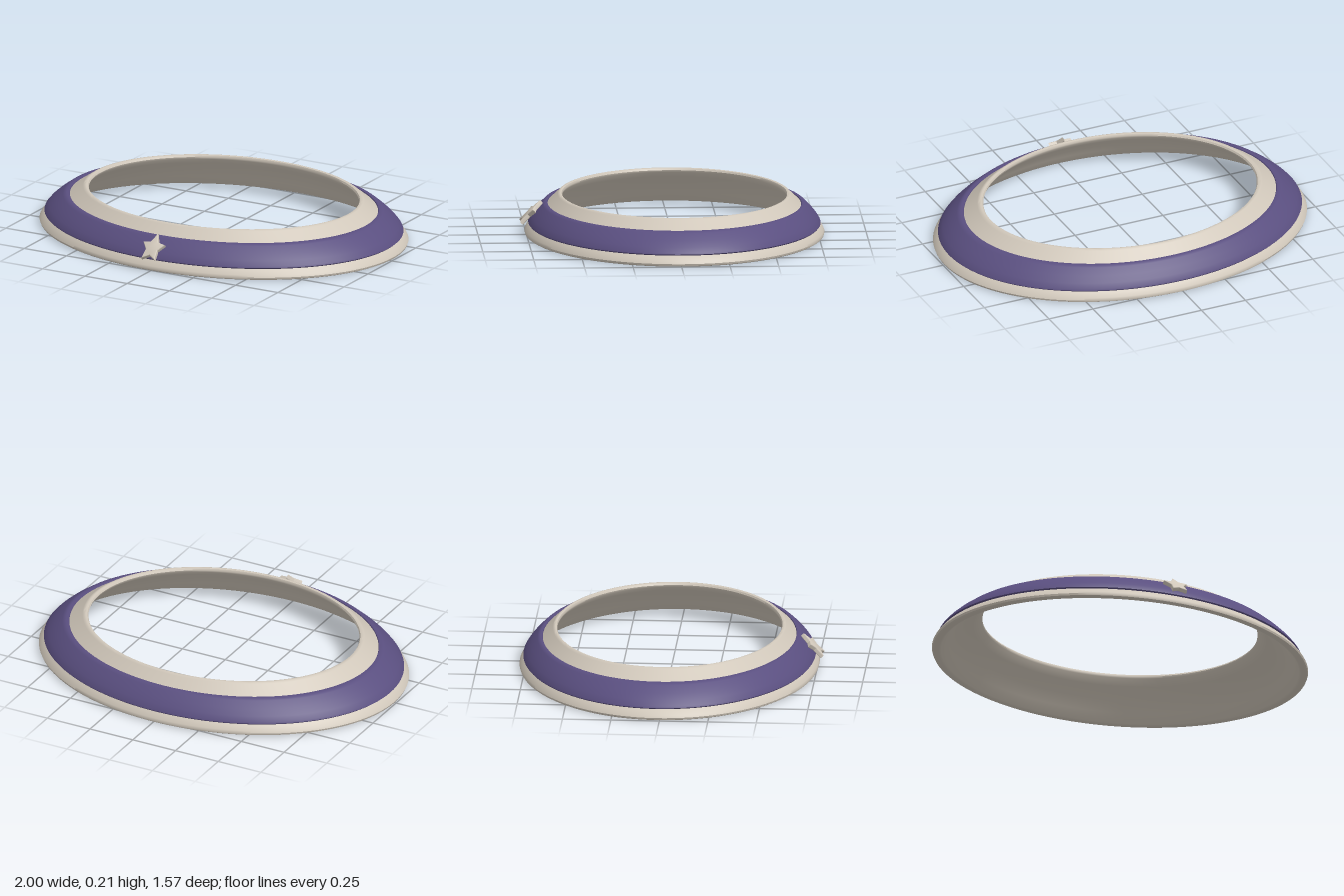
import * as THREE from 'three';
import { toCreasedNormals } from 'three/addons/utils/BufferGeometryUtils.js';

const CENTRE_Z = -0.0125;

// Closed profile [radius along x, y], swept round an oval
function ovalRing(profile, material, name) {
  const pts = [...profile, profile[0]].map(([r, y]) => new THREE.Vector2(r, y));
  const geo = new THREE.LatheGeometry(pts, 128);
  const pos = geo.attributes.position;
  for (let i = 0; i < pos.count; i++) {
    const r = Math.hypot(pos.getX(i), pos.getZ(i));
    const depth = 0.72 * r + 0.052; // half-depth of the oval at this radius
    pos.setZ(i, (pos.getZ(i) / r) * depth + CENTRE_Z);
  }
  const mesh = new THREE.Mesh(toCreasedNormals(geo, 0.7), material);
  mesh.name = name;
  return mesh;
}

export function createModel() {
  const cream = new THREE.MeshStandardMaterial({ color: 0xd0c7ba });
  cream.name = 'cream';
  const purple = new THREE.MeshStandardMaterial({ color: 0x5a4f80 });
  purple.name = 'purple';
  const model = new THREE.Group();
  model.name = 'collar';

  // Sloping collar shell with a rounded lower rim and thin upper rim
  model.add(ovalRing([
    [0.962, 0.003], [0.985, 0.003], [0.996, 0.008], [1, 0.018], [0.994, 0.029],
    [0.975, 0.05], [0.955, 0.065], [0.9, 0.112], [0.835, 0.158],
    [0.762, 0.207], [0.754, 0.213], [0.744, 0.215], [0.734, 0.212], [0.729, 0.203],
    [0.733, 0.192], [0.78, 0.16], [0.85, 0.108], [0.91, 0.055], [0.95, 0.01],
  ], cream, 'collarShell'));

  // Raised band round the outside
  model.add(ovalRing([
    [0.945, 0.056], [0.966, 0.057], [0.973, 0.063], [0.969, 0.072], [0.948, 0.096],
    [0.915, 0.125], [0.872, 0.156], [0.862, 0.162], [0.85, 0.165],
    [0.836, 0.164], [0.832, 0.156], [0.89, 0.112],
  ], purple, 'raisedBand'));

  // Star badge lying on the front slope
  const outline = [];
  for (let i = 0; i < 10; i++) {
    const a = Math.PI / 2 + (i * Math.PI) / 5;
    const k = i % 2 ? 0.5 : 1;
    outline.push(new THREE.Vector2(0.059 * k * Math.cos(a), 0.075 * k * Math.sin(a)));
  }
  const starGeo = new THREE.ExtrudeGeometry(new THREE.Shape(outline), {
    depth: 0.01, bevelEnabled: true, bevelThickness: 0.007, bevelSize: 0.006, bevelSegments: 3,
  });
  starGeo.center();
  const star = new THREE.Mesh(toCreasedNormals(starGeo, 0.6), cream);
  star.name = 'starBadge';
  star.position.set(0, 0.122, 0.725);
  star.rotation.x = -Math.PI / 4;
  model.add(star);

  // Stand the collar on the ground
  model.position.y = -0.003;
  return model;
}
